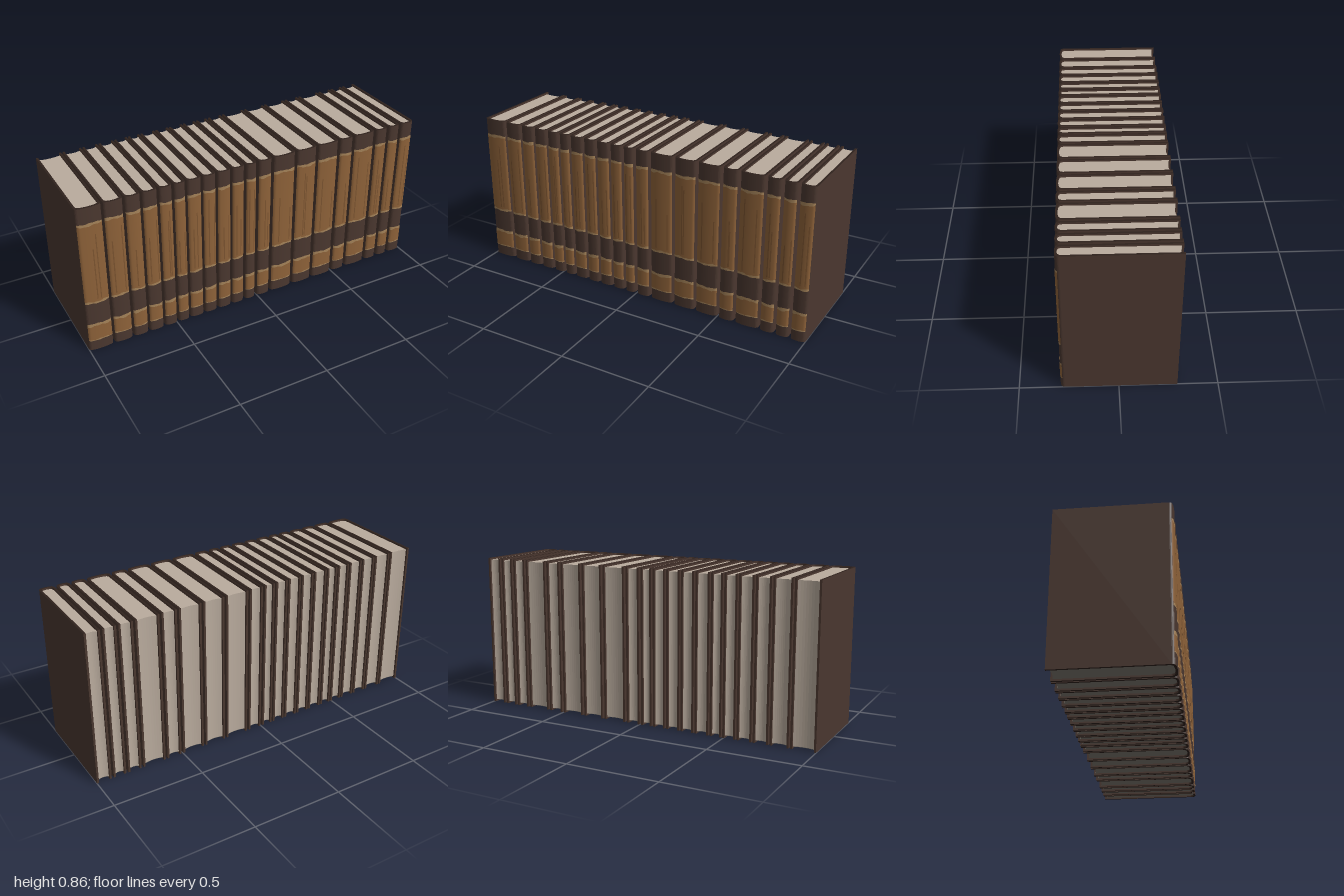
import * as THREE from 'three';

const mat = (name, color, side = THREE.FrontSide) => {
  const m = new THREE.MeshStandardMaterial({ color, side });
  m.name = name;
  return m;
};

const HEIGHT = 0.86, BACK = -0.295, BOARD = 0.011;
// spine joints along x, left to right
const JOINTS = [-1, -0.861, -0.751, -0.66, -0.57, -0.49, -0.417, -0.329, -0.246, -0.16, -0.08,
  -0.005, 0.086, 0.23, 0.364, 0.503, 0.599, 0.741, 0.829, 0.912, 1];

// gently rounded spine with tight corners
function spineZ(x, half) {
  const r = 0.014, d = Math.max(0, half - Math.abs(x));
  const corner = d < r ? r - Math.sqrt(r * r - (r - d) ** 2) : 0;
  return 0.293 - 0.008 * (x / half) ** 2 - corner;
}

// points across the spine, packed closer at the corners
function spinePoints(half, inset) {
  const pts = [];
  for (let i = 0; i <= 20; i++) {
    const x = -half * Math.cos((Math.PI * i) / 20);
    pts.push([x * (1 - inset / half), spineZ(x, half) - inset]);
  }
  return pts;
}

// stands an (x, z) outline up as a prism between two heights
function prism(points, y0, y1) {
  const shape = new THREE.Shape(points.map(([x, z]) => new THREE.Vector2(x, -z)));
  const g = new THREE.ExtrudeGeometry(shape, { depth: y1 - y0, bevelEnabled: false });
  g.rotateX(-Math.PI / 2);
  g.translate(0, y0, 0);
  return g;
}

// thin painted band that follows the spine, with uneven lower and upper edges
function band(half, x0, x1, low, high) {
  const g = new THREE.PlaneGeometry(1, 1, 24, 1);
  const p = g.attributes.position;
  for (let i = 0; i < p.count; i++) {
    const x = x0 + (p.getX(i) + 0.5) * (x1 - x0);
    p.setXYZ(i, x, p.getY(i) > 0 ? high(x) : low(x), spineZ(x, half) + 0.0015);
  }
  g.computeVertexNormals();
  return g;
}

export function createModel() {
  const leather = mat('brown leather', 0x4a372f);
  const edge = mat('dark leather edge', 0x2f221d);
  const gold = mat('aged gold', 0x8e6239, THREE.DoubleSide);
  const shade = mat('worn gold', 0x7c5430, THREE.DoubleSide);
  const pale = mat('pale gold', 0xa58359, THREE.DoubleSide);
  const paper = mat('paper', 0xb9ab9d);
  const underside = mat('dusty paper', 0x7d786f);

  const model = new THREE.Group();
  model.name = 'bookRow';

  for (let b = 0; b < 20; b++) {
    const gap = b < 10 ? 0.004 : 0.006;
    const left = JOINTS[b] + (b ? gap : 0), right = JOINTS[b + 1] - (b < 19 ? gap : 0);
    const half = (right - left) / 2;
    const book = new THREE.Group();
    book.name = 'book' + (b + 1);
    book.position.x = (left + right) / 2;
    const add = (name, geometry, material) => {
      const mesh = new THREE.Mesh(geometry, material);
      mesh.name = name;
      book.add(mesh);
    };

    // U-shaped binding
    const inner = half - BOARD;
    const outline = [[-half, BACK], ...spinePoints(half, 0), [half, BACK],
      [inner, BACK], ...spinePoints(half, BOARD).reverse(), [-inner, BACK]];
    add('cover', prism(outline, 0, HEIGHT), [edge, leather]);

    // page block with a hollow fore edge
    const block = spinePoints(half, BOARD);
    for (let i = 0; i <= 8; i++) {
      const u = 1 - i / 4;
      block.push([u * inner, -0.276 - 0.008 * u * u]);
    }
    add('pages', prism(block, 0.012, 0.85), paper);
    add('pagesUnderside', prism(block, 0.01, 0.012), underside);

    // gilded bands with ragged pale borders
    const ragged = (y, amount, k) => (x) => y + amount *
      (Math.sin(x * 60 + b * 2.3 + k) + 0.6 * Math.sin(x * 145 + b * 4.1 + k * 3));
    const e = half - 0.003;
    const levels = [
      ragged(0.06, 0.001, 0), ragged(0.066, 0.002, 1), ragged(0.152, 0.003, 2), ragged(0.168, 0.002, 3),
      ragged(0.296, 0.002, 4), ragged(0.307, 0.003, 5), ragged(0.757, 0.003, 6), ragged(0.772, 0.002, 7),
    ];
    for (const k of [0, 4]) {
      add('lowerTrim', band(half, -e, e, levels[k], levels[k + 1]), pale);
      add('giltPanel', band(half, -e, e, levels[k + 1], levels[k + 2]), gold);
      add('upperTrim', band(half, -e, e, levels[k + 2], levels[k + 3]), pale);
    }

    // worn vertical streaks on the tall panel
    for (let s = 0; s < 2; s++) {
      const x = half * (0.55 * Math.sin(b * 1.7 + s * 2.6));
      const streak = band(half, x, x + 0.006, () => 0.32, () => 0.62 + 0.1 * Math.sin(b * 2 + s));
      streak.translate(0, 0, 0.0005);
      add('wornStreak', streak, shade);
    }
    model.add(book);
  }
  return model;
}
